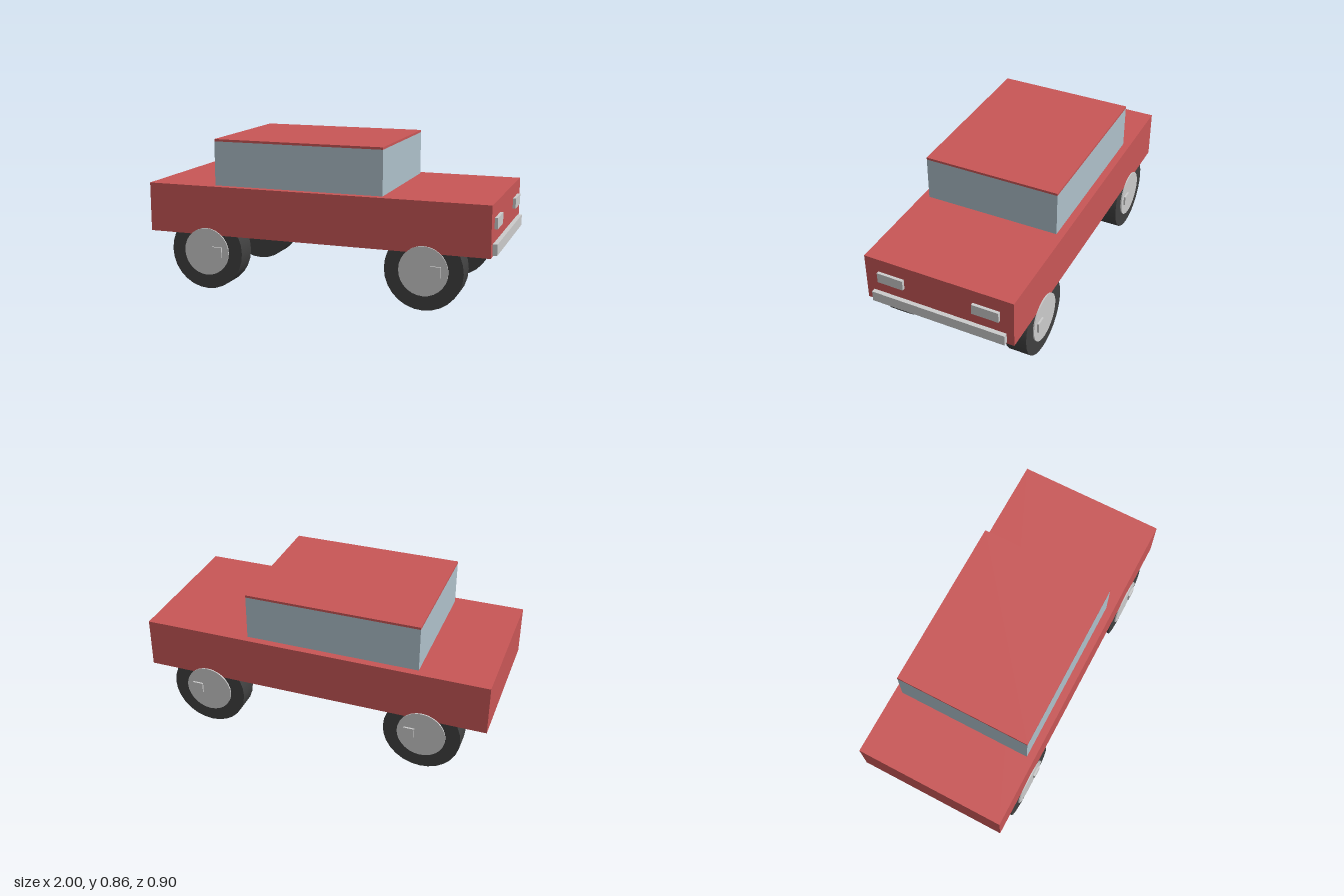
import * as THREE from 'three';

export function createModel() {
  const car = new THREE.Group();
  car.name = 'car';

  const material = (name, color) => {
    const m = new THREE.MeshStandardMaterial({ color });
    m.name = name;
    return m;
  };
  const red = material('red paint', 0xc85656);
  const glass = material('pale blue glass', 0xaec0ca);
  const silver = material('silver trim', 0xcbcbcb);
  const rubber = material('dark rubber', 0x404040);

  // Box given by its lower and upper limits on each axis
  const box = (name, mat, [x0, x1], [y0, y1], [z0, z1], parent = car) => {
    const mesh = new THREE.Mesh(new THREE.BoxGeometry(x1 - x0, y1 - y0, z1 - z0), mat);
    mesh.position.set((x0 + x1) / 2, (y0 + y1) / 2, (z0 + z1) / 2);
    mesh.name = name;
    parent.add(mesh);
  };

  // Disc with its axle along z
  const disc = (name, mat, radius, z0, z1, parent) => {
    const geometry = new THREE.CylinderGeometry(radius, radius, z1 - z0, 28).rotateX(Math.PI / 2);
    const mesh = new THREE.Mesh(geometry, mat);
    mesh.position.z = (z0 + z1) / 2;
    mesh.name = name;
    parent.add(mesh);
  };

  // Body, cabin and roof
  box('body', red, [-1, 0.975], [0.315, 0.595], [-0.432, 0.432]);
  box('cabinWindows', glass, [-0.605, 0.38], [0.595, 0.845], [-0.39, 0.39]);
  box('roof', red, [-0.605, 0.38], [0.845, 0.858], [-0.39, 0.39]);

  // Bumper and headlights at the +x end
  box('bumper', silver, [0.975, 1], [0.322, 0.383], [-0.39, 0.39]);
  box('headlightLeft', silver, [0.975, 0.992], [0.455, 0.515], [-0.353, -0.2]);
  box('headlightRight', silver, [0.975, 0.992], [0.455, 0.515], [0.2, 0.353]);

  // Wheels: tyre, hubcap and an off-centre square valve
  for (const x of [-0.647, 0.62]) {
    for (const side of [-1, 1]) {
      const wheel = new THREE.Group();
      wheel.name = 'wheel';
      wheel.position.set(x, 0.218, 0);
      const out = (a, b) => (side > 0 ? [a, b] : [-b, -a]);
      disc('tyre', rubber, 0.217, ...out(0.308, 0.4315), wheel);
      disc('hubcap', silver, 0.136, ...out(0.425, 0.439), wheel);
      box('valve', silver, [0.037, 0.097], [-0.028, 0.032], out(0.43, 0.449), wheel);
      car.add(wheel);
    }
  }
  return car;
}
